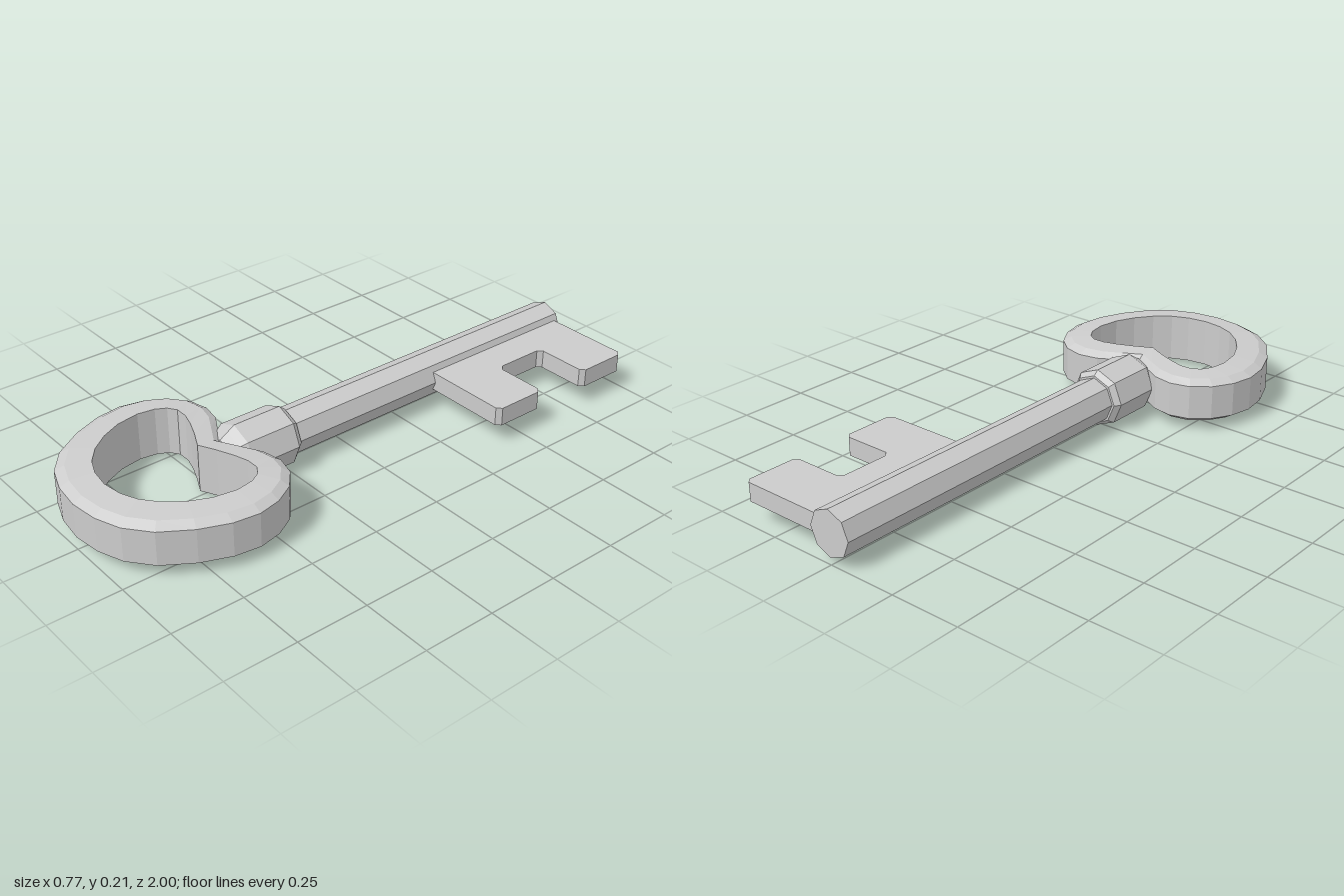
import * as THREE from 'three';

const AXIS_Y = 0.104;
const material = new THREE.MeshStandardMaterial({ color: 0xcccccc, flatShading: true });

function part(name, geometry) {
  const mesh = new THREE.Mesh(geometry, material);
  mesh.name = name;
  return mesh;
}

// Eight-sided turned part lying along z; profile is [radius, z] pairs
function octagonal(name, profile) {
  const geometry = new THREE.LatheGeometry(profile.map(([r, z]) => new THREE.Vector2(r, z)), 8);
  geometry.rotateX(Math.PI / 2);
  geometry.translate(0, AXIS_Y, 0);
  return part(name, geometry);
}

// Half outline [x, z] from notch to tip, mirrored into a closed loop
function mirrored(half) {
  return [...half, ...half.slice(1, -1).reverse().map(([x, z]) => [-x, z])];
}

// Heart-shaped bow: a bevelled section swept between outer and inner outlines
function bowGeometry() {
  const outer = mirrored([[0, 0.47], [0.07, 0.43], [0.13, 0.395], [0.2, 0.382], [0.27, 0.4], [0.33, 0.45], [0.37, 0.52],
    [0.387, 0.6], [0.375, 0.69], [0.335, 0.79], [0.27, 0.89], [0.19, 0.955], [0.1, 0.988], [0, 1]]);
  const inner = mirrored([[0, 0.555], [0.06, 0.525], [0.12, 0.5], [0.17, 0.485], [0.215, 0.485], [0.245, 0.505], [0.265, 0.54],
    [0.275, 0.6], [0.262, 0.68], [0.23, 0.75], [0.185, 0.81], [0.13, 0.855], [0.07, 0.88], [0, 0.89]]);
  // Section as [fraction from outer to inner, y]
  const section = [[0, 0.045], [0, 0.165], [0.28, 0.183], [1, 0.19], [1, 0.018], [0.28, 0.026]];
  const n = outer.length, m = section.length;
  const positions = [], index = [];
  for (let i = 0; i < n; i++) {
    for (const [t, y] of section) {
      positions.push(
        THREE.MathUtils.lerp(outer[i][0], inner[i][0], t), y,
        THREE.MathUtils.lerp(outer[i][1], inner[i][1], t));
    }
    for (let j = 0; j < m; j++) {
      const i2 = (i + 1) % n, j2 = (j + 1) % m;
      const a = i * m + j, b = i2 * m + j, c = i2 * m + j2, d = i * m + j2;
      index.push(a, d, c, a, c, b);
    }
  }
  const geometry = new THREE.BufferGeometry();
  geometry.setAttribute('position', new THREE.Float32BufferAttribute(positions, 3));
  geometry.setIndex(index);
  const flat = geometry.toNonIndexed();
  flat.computeVertexNormals();
  return flat;
}

// Two-toothed bit with small chamfers at the tooth corners
function bitGeometry() {
  const c = 0.016, x0 = 0.05, gap = 0.185, tip = 0.387;
  const outline = [
    [x0, -0.985], [tip - c, -0.985], [tip, -0.985 + c],
    [tip, -0.785 - c], [tip - c, -0.785], [gap + c, -0.785], [gap, -0.785 + c],
    [gap, -0.58 - c], [gap + c, -0.58], [tip - c, -0.58], [tip, -0.58 + c],
    [tip, -0.38 - c], [tip - c, -0.38], [x0, -0.38],
  ];
  const shape = new THREE.Shape(outline.map(([x, z]) => new THREE.Vector2(x, z)));
  const geometry = new THREE.ExtrudeGeometry(shape, { depth: 0.066, bevelEnabled: false });
  geometry.rotateX(Math.PI / 2);
  geometry.translate(0, 0.139, 0);
  return geometry;
}

export function createModel() {
  const key = new THREE.Group();
  key.name = 'key';
  key.add(
    octagonal('shaft', [[0, -1], [0.08, -1], [0.08, 0.26], [0, 0.26]]),
    octagonal('collar', [[0, 0.215], [0.088, 0.215], [0.104, 0.235], [0.104, 0.415], [0.088, 0.44], [0.07, 0.47], [0, 0.47]]),
    part('bow', bowGeometry()),
    part('bit', bitGeometry()),
  );
  return key;
}
